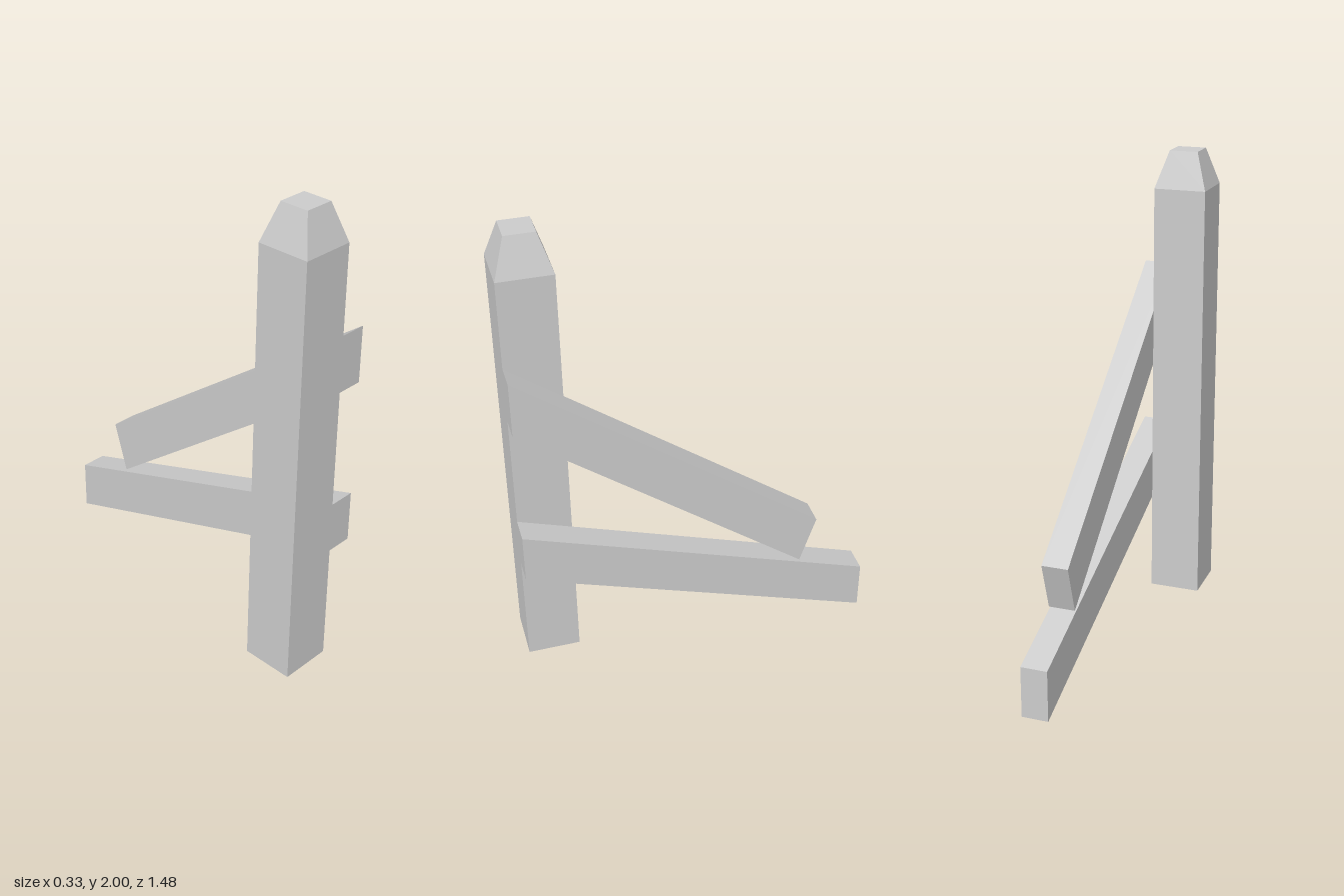
import * as THREE from 'three';

const material = new THREE.MeshStandardMaterial({ color: 0xcccccc, flatShading: true });

// Side profile given as [z, y] corners, extruded along +x from x0
function makeRail(name, corners, x0, width) {
  const shape = new THREE.Shape(corners.map(([z, y]) => new THREE.Vector2(-z, y)));
  const geometry = new THREE.ExtrudeGeometry(shape, { depth: width, bevelEnabled: false });
  geometry.rotateY(Math.PI / 2).translate(x0, 0, 0);
  const rail = new THREE.Mesh(geometry, material);
  rail.name = name;
  return rail;
}

export function createModel() {
  const group = new THREE.Group();
  group.name = 'fencePost';

  // Square post with a tapered, flat-topped cap: a four-sided lathe
  const half = 0.111, capHalf = 0.061;
  const profile = [[0, 0], [half, 0], [half, 1.845], [capHalf, 2], [0, 2]]
    .map(([r, y]) => new THREE.Vector2(r * Math.SQRT2, y));
  const post = new THREE.Mesh(new THREE.LatheGeometry(profile, 4, Math.PI / 4), material);
  post.name = 'post';
  post.position.set(-0.057, 0, 0.628);
  group.add(post);

  // Two sloping rails fixed to the left face of the post
  const railX = 0.054, railWidth = 0.111;
  group.add(
    makeRail('upperRail', [[0.739, 1.478], [0.739, 1.24], [-0.447, 0.337], [-0.514, 0.547]], railX, railWidth),
    makeRail('lowerRail', [[0.739, 0.738], [0.739, 0.518], [-0.739, 0.003], [-0.739, 0.222]], railX, railWidth),
  );
  return group;
}
